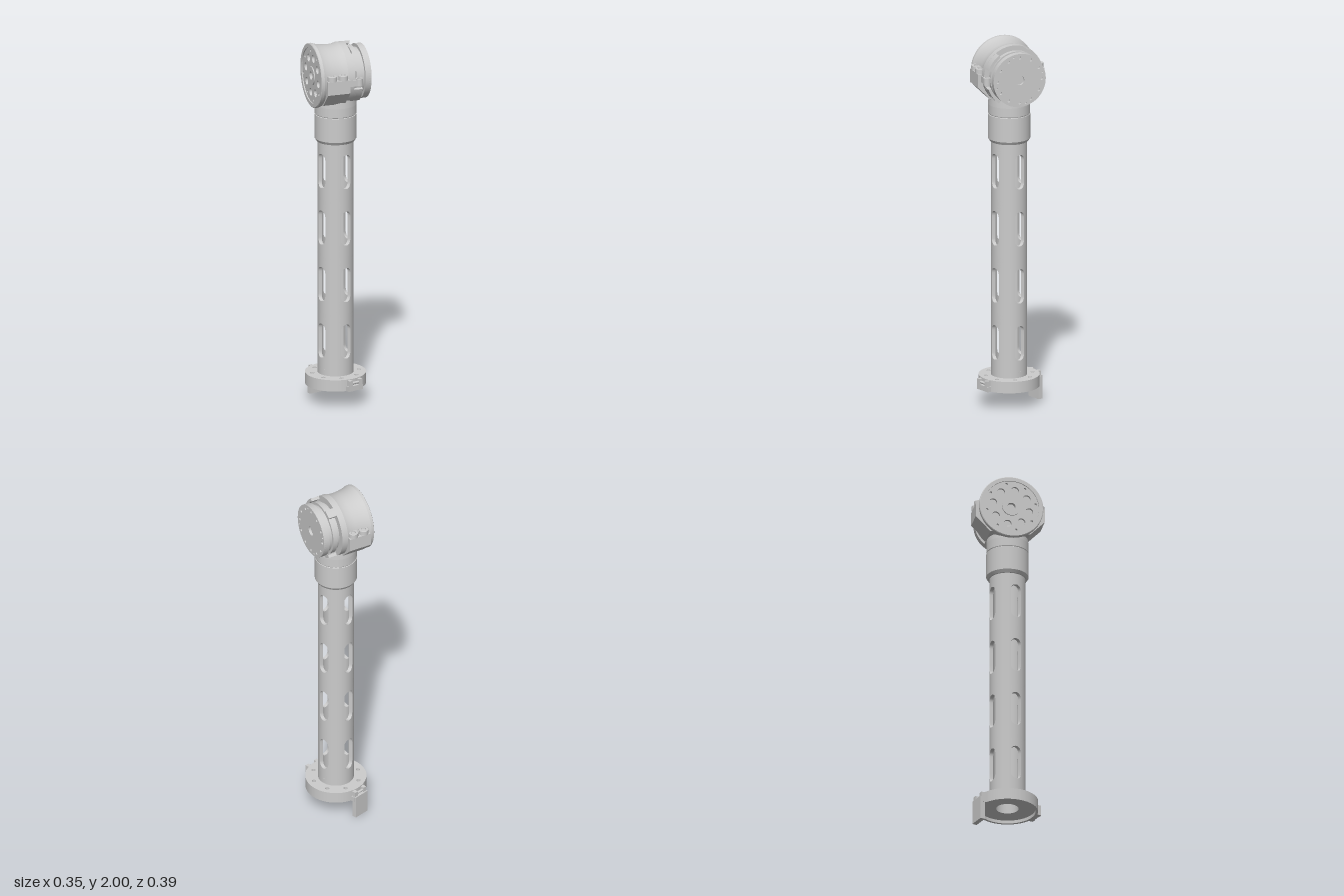
import * as THREE from 'three';
import { mergeGeometries } from 'three/addons/utils/BufferGeometryUtils.js';

const V = (x, y) => new THREE.Vector2(x, y);
const grey = new THREE.MeshStandardMaterial({ color: 0xcccccc });
grey.name = 'machined grey';

function add(parent, name, geometry, x = 0, y = 0, z = 0) {
  const mesh = new THREE.Mesh(geometry, grey);
  mesh.name = name;
  mesh.position.set(x, y, z);
  parent.add(mesh);
}

// Turned part: every argument is one smooth run of [radius, height] points
function turned(...runs) {
  return mergeGeometries(runs.map(run => new THREE.LatheGeometry(run.map(p => V(...p)), 64)));
}
// Turned part with a sharp edge at every profile point
function sharpTurned(points) {
  return turned(...points.slice(1).map((p, i) => [points[i], p]));
}

// Round plate with holes given as [x, y, radius]
function plate(radius, depth, holes) {
  const shape = new THREE.Shape().absarc(0, 0, radius, 0, Math.PI * 2);
  for (const [x, y, r] of holes) shape.holes.push(new THREE.Path().absarc(x, y, r, 0, Math.PI * 2, true));
  return new THREE.ExtrudeGeometry(shape, { depth, bevelEnabled: false, curveSegments: 32 });
}
function holeRing(count, radius, size, start = 0) {
  return Array.from({ length: count }, (_, i) => {
    const a = start + i / count * Math.PI * 2;
    return [Math.cos(a) * radius, Math.sin(a) * radius, size];
  });
}

// Indexed grid from a point rule
function grid(nu, nv, rule) {
  const pos = [], idx = [];
  for (let i = 0; i <= nu; i++) for (let j = 0; j <= nv; j++) pos.push(...rule(i, j));
  for (let i = 0; i < nu; i++) for (let j = 0; j < nv; j++) {
    const a = i * (nv + 1) + j, b = a + nv + 1;
    idx.push(a, a + 1, b, b, a + 1, b + 1);
  }
  const uv = new Float32Array(pos.length / 3 * 2);
  const g = new THREE.BufferGeometry();
  g.setAttribute('position', new THREE.Float32BufferAttribute(pos, 3));
  g.setAttribute('uv', new THREE.BufferAttribute(uv, 2));
  g.setIndex(idx);
  g.computeVertexNormals();
  return g;
}

const R = 0.096, R_IN = 0.077, PITCH = 0.316;

// Quarter of the tube wall around one rounded slot
function slotPanel(angle) {
  const n = 10, hw = R * Math.PI / 4, hh = PITCH / 2, slotR = 0.031, spine = 0.064;
  const corners = [[-hw, -hh], [hw, -hh], [hw, hh], [-hw, hh]];
  // Point between the slot edge (t = 0) and the panel edge (t = 1)
  const flat = (i, t) => {
    const k = Math.floor(i / n) % 4, f = (i % n) / n, a = corners[k], b = corners[(k + 1) % 4];
    const x = a[0] + (b[0] - a[0]) * f, y = a[1] + (b[1] - a[1]) * f;
    const sy = THREE.MathUtils.clamp(y, -spine, spine), d = Math.hypot(x, y - sy);
    const ix = x / d * slotR, iy = sy + (y - sy) / d * slotR;
    return [ix + (x - ix) * t, iy + (y - iy) * t];
  };
  const bend = ([x, y], r) => [Math.sin(angle + x / R) * r, y, Math.cos(angle + x / R) * r];
  const radial = (g, sign) => {
    const p = g.attributes.position, nor = g.attributes.normal;
    for (let i = 0; i < p.count; i++) {
      const l = Math.hypot(p.getX(i), p.getZ(i)) * sign;
      nor.setXYZ(i, p.getX(i) / l, 0, p.getZ(i) / l);
    }
    return g;
  };
  return mergeGeometries([
    radial(grid(4 * n, 4, (i, j) => bend(flat(i, j / 4), R)), 1),
    radial(grid(4 * n, 4, (i, j) => bend(flat(i, 1 - j / 4), R_IN)), -1),
    grid(4 * n, 1, (i, j) => bend(flat(i, 0), j ? R : R_IN)),
  ]);
}

export function createModel() {
  const model = new THREE.Group();
  model.name = 'robotArmLink';

  // Everything below the head shares one upright axis, turned to the slot direction
  const column = new THREE.Group();
  column.name = 'column';
  column.position.set(-0.004, 0, -0.004);
  column.rotation.y = 0.53;
  model.add(column);

  // Slotted tube
  const ringOfSlots = mergeGeometries([0, 1, 2, 3].map(i => slotPanel(i * Math.PI / 2)));
  for (let row = 0; row < 4; row++) add(column, 'slottedTube', ringOfSlots, 0, 0.35 + row * PITCH, 0);
  add(column, 'tubeFoot', sharpTurned([[R, 0.15], [R, 0.192]]));
  add(column, 'tubeFootBore', sharpTurned([[R_IN, 0.192], [R_IN, 0.15]]));

  // Base flange: drilled top, recessed underside
  const topPlate = plate(0.15, 0.02, [[0, 0, 0.06], ...holeRing(8, 0.128, 0.011, Math.PI / 8)]);
  topPlate.rotateX(-Math.PI / 2);
  add(column, 'flangePlate', topPlate, 0, 0.141, 0);
  add(column, 'flangeRim', sharpTurned([[0.15, 0.161], [0.15, 0.098], [0.163, 0.098], [0.163, 0.161], [0.149, 0.161]]));
  add(column, 'flangeFloor', sharpTurned([[0.06, 0.161], [0.06, 0.115], [0.15, 0.115]]));

  // Clip ears front and back, and the hanging latch tab at the back
  for (const side of [1, -1]) {
    add(column, 'clipBase', new THREE.BoxGeometry(0.094, 0.028, 0.025), 0, 0.112, side * 0.166);
    for (const x of [-0.032, 0.032])
      add(column, 'clipEar', new THREE.BoxGeometry(0.02, 0.058, 0.026), x, 0.128, side * 0.169);
    add(column, 'clipPin', new THREE.CylinderGeometry(0.007, 0.007, 0.08, 16).rotateZ(Math.PI / 2), 0, 0.14, side * 0.172);
  }
  add(column, 'latchTab', new THREE.BoxGeometry(0.089, 0.13, 0.026), 0, 0.065, -0.176);

  // Collar and neck with a seam between them
  add(column, 'collar', sharpTurned([[R_IN, 1.456], [0.103, 1.456], [0.113, 1.472], [0.113, 1.605], [0.11, 1.607]]));
  add(column, 'neck', sharpTurned([[0.11, 1.607], [0.112, 1.611], [0.112, 1.66], [0.108, 1.73]]));
  add(column, 'neckFloor', sharpTurned([[R_IN, 1.5], [0, 1.5]].reverse()));

  // Head: local x runs along the joint axis
  const head = new THREE.Group();
  head.name = 'jointHead';
  head.position.set(0.001, 1.826, -0.011);
  head.rotation.y = 0.22;
  model.add(head);
  const toAxis = g => g.rotateZ(-Math.PI / 2);
  const face = g => g.rotateY(Math.PI / 2);

  // Waisted housing
  add(head, 'housing', toAxis(turned(
    [[0, -0.108], [0.15, -0.108]], [[0.15, -0.108], [0.15, -0.143]],
    [[0.15, -0.143], [0.17, -0.143]], [[0.17, -0.143], [0.174, -0.14]],
    [[0.174, -0.14], [0.174, -0.125]],
    [[0.174, -0.125], [0.166, -0.105], [0.161, -0.075], [0.158, -0.04], [0.159, -0.01], [0.166, 0.012]],
    [[0.166, 0.012], [0.166, 0.047]], [[0.166, 0.047], [0.12, 0.047]])));

  // Raised shell fingers beside the cutouts, wider on the front: [start, end] from the vertical
  for (const pole of [1, -1]) for (const [from, to] of [[0.64, 1.25], [-0.67, -0.37]]) {
    const centre = pole * Math.PI / 2, ends = [centre + pole * from, centre + pole * to];
    const lo = Math.min(...ends), hi = Math.max(...ends);
    const shape = new THREE.Shape();
    shape.absarc(0, 0, 0.165, lo, hi, false);
    shape.absarc(0, 0, 0.149, hi, lo, true);
    add(head, 'shellFinger', face(new THREE.ExtrudeGeometry(shape, { depth: 0.05, bevelEnabled: false })), 0.045);
  }

  // Rotor drum, band and drilled output disc
  add(head, 'rotorDrum', toAxis(sharpTurned([[0.13, 0.04], [0.13, 0.064], [0.144, 0.064], [0.144, 0.09],
    [0.13, 0.09], [0.13, 0.114], [0.147, 0.114], [0.147, 0.132]])));
  add(head, 'outputDisc', face(plate(0.147, 0.016,
    [[0, 0, 0.026], ...holeRing(12, 0.124, 0.008), ...holeRing(4, 0.132, 0.005, 0.26)])), 0.132);
  add(head, 'outputDiscFloor', toAxis(sharpTurned([[0.146, 0.134], [0, 0.134]])));

  // Recessed end face with openings and hub
  add(head, 'endFace', face(plate(0.15, 0.014,
    [[0, 0, 0.022], ...holeRing(8, 0.1, 0.021, 0.2), ...holeRing(8, 0.134, 0.007, 0.59)])), -0.137);
  add(head, 'endHub', face(plate(0.05, 0.012, [[0, 0, 0.022]])), -0.143);

  // Clamp block that joins the lower shell to the neck
  const block = new THREE.Shape([V(0.188, 0.014), V(-0.188, 0.014), V(-0.188, -0.06), V(-0.108, -0.14),
    V(0.108, -0.14), V(0.188, -0.06)]);
  add(head, 'clampBlock', face(new THREE.ExtrudeGeometry(block, { depth: 0.125, bevelEnabled: false })), -0.112);

  // Bolt bosses on both sides
  const boss = sharpTurned([[0.026, 0], [0.026, 0.026], [0.024, 0.028], [0.013, 0.028], [0.013, 0.016], [0, 0.016]]);
  const bolt = new THREE.CylinderGeometry(0.009, 0.009, 0.01, 16);
  for (const side of [1, -1]) for (const x of [-0.081, -0.019]) {
    add(head, 'boltBoss', boss, x, 0.012, side * 0.165);
    add(head, 'boltHead', bolt, x, 0.03, side * 0.165);
  }

  // Small cable lug
  add(head, 'cableLug', plate(0.02, 0.04, [[0, 0, 0.011]]).rotateX(-Math.PI / 2), 0.074, -0.03, 0.158);
  add(head, 'lugArm', new THREE.BoxGeometry(0.05, 0.035, 0.012), 0.032, -0.012, 0.165);
  return model;
}
